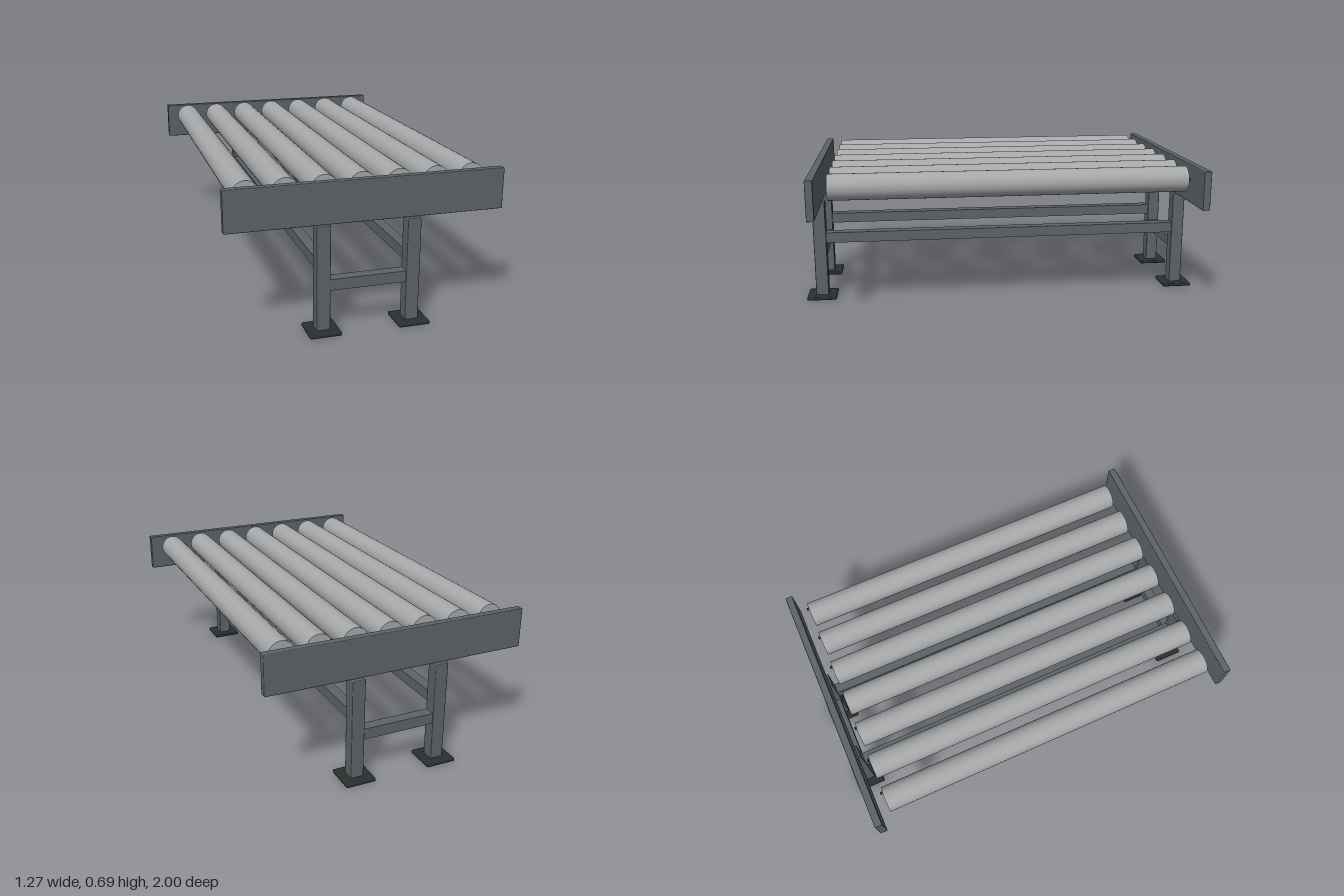
import * as THREE from 'three';
import { RoundedBoxGeometry } from 'three/addons/geometries/RoundedBoxGeometry.js';

const mat = (name, color) => {
  const m = new THREE.MeshStandardMaterial({ color });
  m.name = name;
  return m;
};

export function createModel() {
  const frame = mat('frame grey', 0x5d6468);
  const steel = mat('roller steel', 0xa6a8aa);
  const dark = mat('foot dark', 0x29302f);
  const group = new THREE.Group();

  const add = (name, geometry, material, x, y, z) => {
    const mesh = new THREE.Mesh(geometry, material);
    mesh.name = name;
    mesh.position.set(x, y, z);
    group.add(mesh);
    return mesh;
  };
  // Box with slightly eased edges
  const bar = (w, h, d, r = 0.004) => new RoundedBoxGeometry(w, h, d, 1, r);

  // Side rails, legs, feet and the short braces at both ends
  const railGeo = bar(1.27, 0.19, 0.036);
  const legGeo = bar(0.063, 0.483, 0.063);
  const footGeo = bar(0.147, 0.017, 0.147, 0.006);
  const braceGeo = new THREE.BoxGeometry(0.36, 0.052, 0.052);
  for (const s of [-1, 1]) {
    add('sideRail', railGeo, frame, 0, 0.593, s * 0.923);
    add('endBrace', braceGeo, frame, 0, 0.225, s * 0.926);
    for (const x of [-0.207, 0.207]) {
      add('leg', legGeo, frame, x, 0.2555, s * 0.926);
      add('footPlate', footGeo, dark, x, 0.0085, s * 0.9265);
    }
  }

  // Long braces joining the two ends
  const longGeo = new THREE.BoxGeometry(0.052, 0.052, 1.79);
  for (const x of [-0.207, 0.207]) add('longBrace', longGeo, frame, x, 0.314, 0);

  // Rollers, each with a small pin on its back end
  const rollerGeo = new THREE.CylinderGeometry(0.062, 0.062, 1.7, 32).rotateX(Math.PI / 2);
  const pinGeo = new THREE.CylinderGeometry(0.007, 0.007, 0.02, 10).rotateX(Math.PI / 2);
  for (let i = -3; i <= 3; i++) {
    const x = i * 0.1735;
    add('roller', rollerGeo, steel, x, 0.633, 0);
    add('rollerPin', pinGeo, dark, x + 0.036, 0.635, -0.853);
  }
  return group;
}
